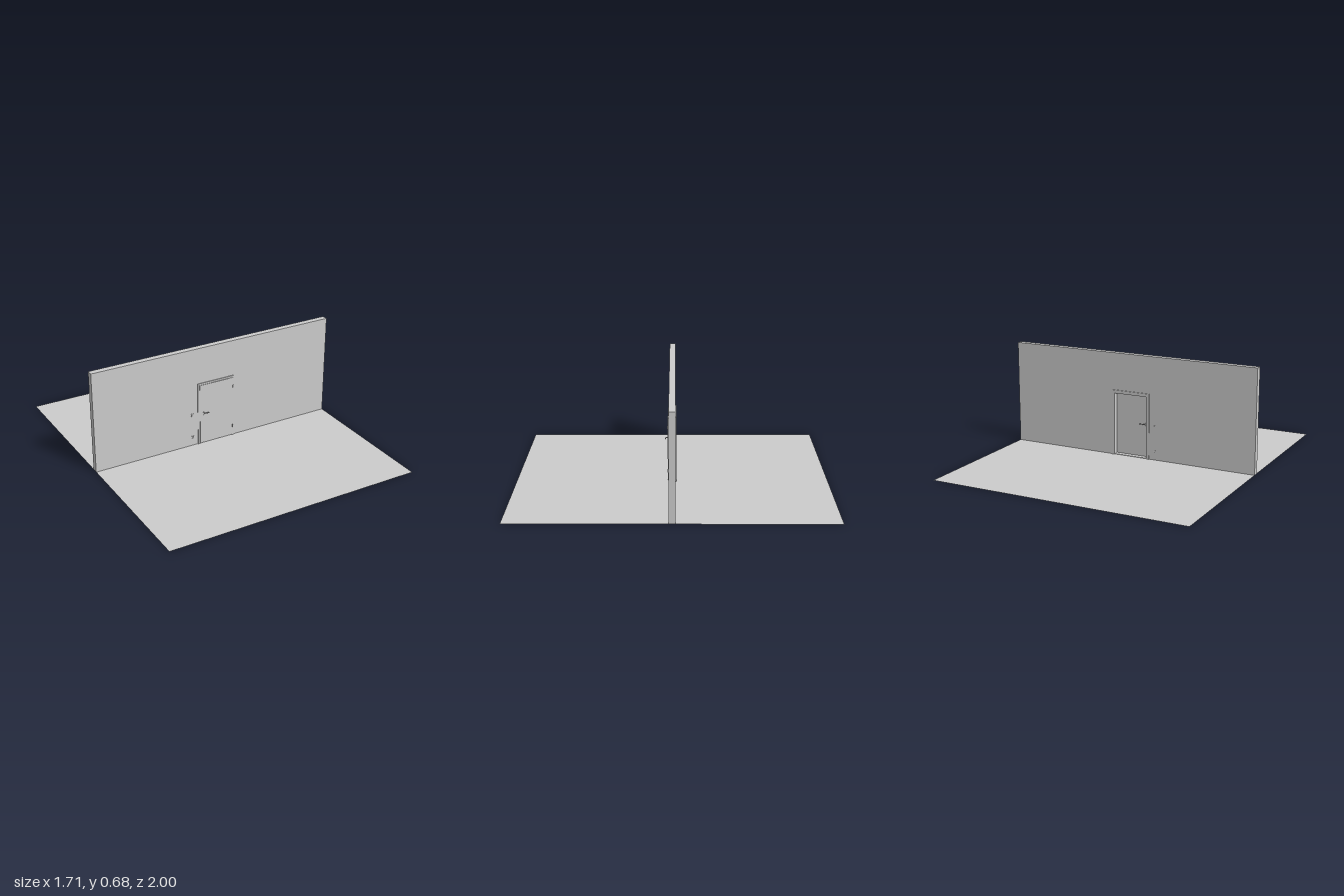
import * as THREE from 'three';

const material = new THREE.MeshStandardMaterial({ color: 0xcccccc });
const thinMaterial = new THREE.MeshStandardMaterial({ color: 0xcccccc, side: THREE.DoubleSide });

export function createModel() {
  const model = new THREE.Group();

  const add = (name, geometry, parent = model, mat = material) => {
    const mesh = new THREE.Mesh(geometry, mat);
    mesh.name = name;
    parent.add(mesh);
    return mesh;
  };
  // Box given by its lower and upper limits on each axis
  const box = (name, [x0, x1], [y0, y1], [z0, z1], parent) => {
    const g = new THREE.BoxGeometry(x1 - x0, y1 - y0, z1 - z0);
    g.translate((x0 + x1) / 2, (y0 + y1) / 2, (z0 + z1) / 2);
    return add(name, g, parent);
  };
  // Outline of a doorway (open at the floor) extruded from z0 to z1
  const portal = (name, [ox0, ox1, oy], [ix0, ix1, iy], z0, z1, parent) => {
    const points = [[ox0, 0], [ix0, 0], [ix0, iy], [ix1, iy], [ix1, 0], [ox1, 0], [ox1, oy], [ox0, oy]];
    const shape = new THREE.Shape(points.map(([x, y]) => new THREE.Vector2(x, y)));
    const g = new THREE.ExtrudeGeometry(shape, { depth: z1 - z0, bevelEnabled: false });
    g.translate(0, 0, z0);
    return add(name, g, parent);
  };

  const halfWidth = 0.855, wallZ = 0.02;

  // Floor on both sides of the wall
  for (const side of [1, -1]) {
    const g = new THREE.PlaneGeometry(2 * halfWidth, 1 - wallZ).rotateX(-Math.PI / 2);
    g.translate(0, 0, side * (1 + wallZ) / 2);
    add(side > 0 ? 'frontFloor' : 'backFloor', g, model, thinMaterial);
  }

  // Wall with the doorway cut out
  portal('wall', [-halfWidth, halfWidth, 0.68], [-0.12, 0.133, 0.426], -wallZ, wallZ);

  // Door frame: lining with a trim on either face
  const frame = new THREE.Group();
  frame.name = 'doorFrame';
  model.add(frame);
  portal('lining', [-0.12, 0.133, 0.426], [-0.108, 0.121, 0.414], -wallZ, 0.014, frame);
  portal('frontTrim', [-0.129, 0.142, 0.435], [-0.113, 0.126, 0.419], wallZ, 0.025, frame);
  portal('backTrim', [-0.129, 0.142, 0.435], [-0.108, 0.121, 0.414], -0.026, -wallZ, frame);
  box('threshold', [-0.12, 0.133], [0, 0.003], [-wallZ, wallZ], frame);

  // Door leaf with a rebated edge
  const door = new THREE.Group();
  door.name = 'door';
  model.add(door);
  box('leafCore', [-0.107, 0.12], [0.005, 0.413], [0.008, 0.022], door);
  box('leafFace', [-0.116, 0.129], [0.005, 0.423], [0.022, 0.029], door);

  // Hinges
  for (const y of [0.07, 0.36]) {
    const g = new THREE.CylinderGeometry(0.003, 0.003, 0.02, 12).translate(0.128, y, 0.029);
    add('hinge', g, door);
  }

  // Lever handle, rose and lock plate on each side of the leaf
  for (const [side, z] of [[1, 0.029], [-1, 0.008]]) {
    const handle = new THREE.Group();
    handle.name = side > 0 ? 'frontHandle' : 'backHandle';
    handle.position.set(-0.09, 0.224, z);
    door.add(handle);
    const disc = (name, r, y, depth) => {
      const g = new THREE.CylinderGeometry(r, r, depth, 20).rotateX(Math.PI / 2);
      add(name, g.translate(0, y, side * depth / 2), handle);
    };
    disc('rose', 0.006, 0, 0.002);
    disc('lockRose', 0.006, -0.017, 0.002);
    disc('lockCylinder', 0.002, -0.017, 0.003);
    const path = new THREE.CatmullRomCurve3([
      [0, 0, 0], [0, 0, 0.009], [0.004, 0, 0.014], [0.012, 0, 0.015], [0.034, 0, 0.015],
    ].map(([x, y, d]) => new THREE.Vector3(x, y, side * d)));
    add('lever', new THREE.TubeGeometry(path, 20, 0.0028, 10), handle);
    const cap = new THREE.SphereGeometry(0.0028, 10, 8).translate(0.034, 0, side * 0.015);
    add('leverTip', cap, handle);
  }

  // Light switches and sockets beside the door on both wall faces
  for (const side of [1, -1]) {
    const span = (a, b) => side > 0 ? [a, b] : [-b, -a];
    const face = side > 0 ? 'front' : 'back';
    const plates = new THREE.Group();
    plates.name = face + 'WallFittings';
    model.add(plates);
    box('switchPlate', [-0.178, -0.16], [0.212, 0.23], span(wallZ, 0.022), plates);
    box('switchRocker', [-0.175, -0.163], [0.215, 0.227], span(0.022, 0.0235), plates);
    box('socketPlate', [-0.178, -0.16], [0.05, 0.068], span(wallZ, 0.022), plates);
    const ring = new THREE.TorusGeometry(0.006, 0.001, 6, 24).translate(-0.169, 0.059, side * 0.022);
    add('socketRing', ring, plates);
  }

  return model;
}
